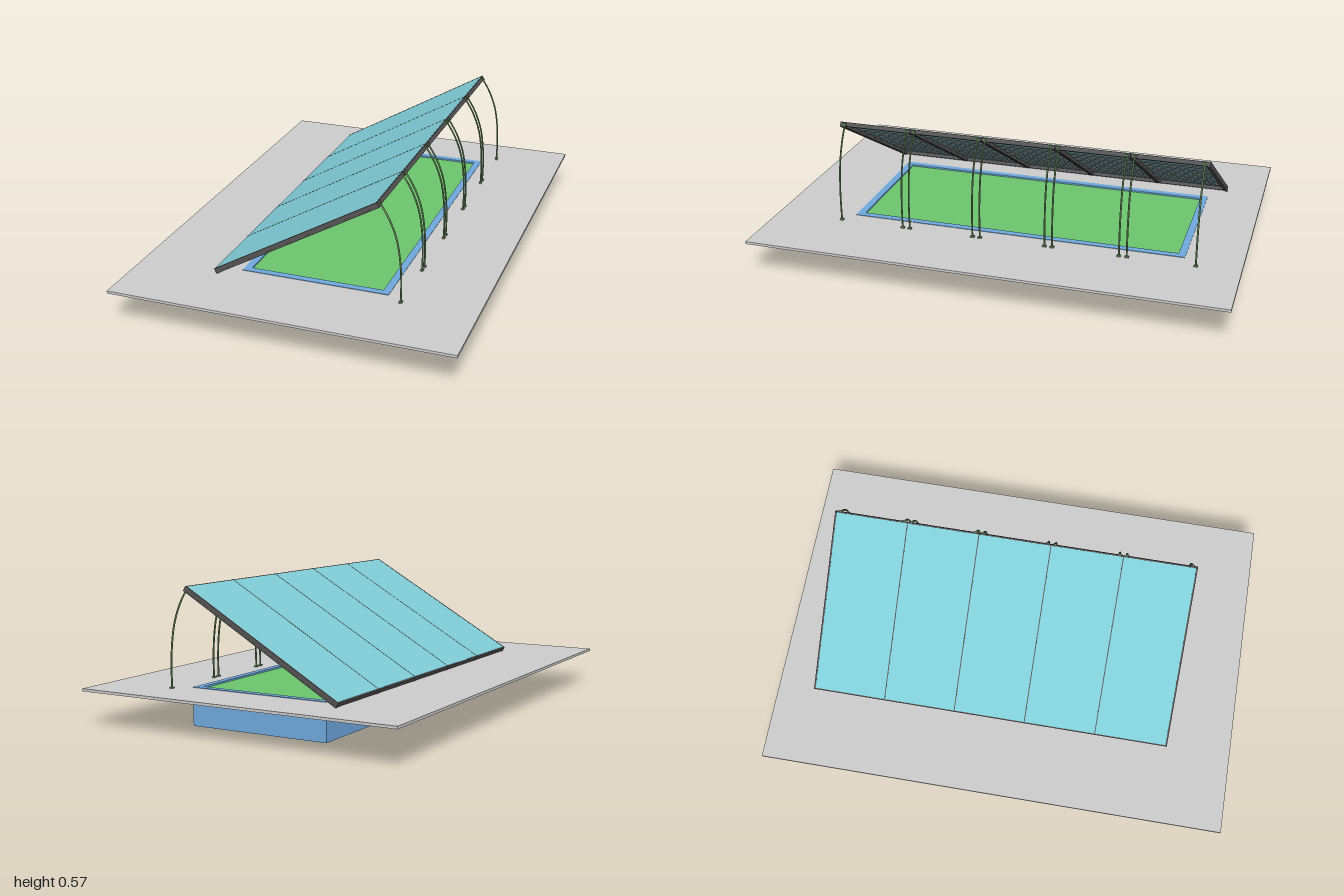
import * as THREE from 'three';

const mat = (color) => new THREE.MeshStandardMaterial({ color });
const GREY = mat(0xcccccc), BLUE = mat(0x6fa8dc), GREEN = mat(0x6cc46c);
const GLASS = mat(0x7fccd6), DARK = mat(0x555555), LEG = mat(0x6b8f5e);

function add(parent, name, geometry, material, x = 0, y = 0, z = 0) {
  const mesh = new THREE.Mesh(geometry, material);
  mesh.name = name;
  mesh.position.set(x, y, z);
  parent.add(mesh);
  return mesh;
}

const box = (parent, name, material, w, h, d, x, y, z) =>
  add(parent, name, new THREE.BoxGeometry(w, h, d), material, x, y, z);

// Upright prism on a rectangle [x0, x1, z0, z1], with a rectangular opening
function ringSlab([x0, x1, z0, z1], [a0, a1, b0, b1], y0, y1) {
  const pts = (l, r, n, f) => [[l, -n], [r, -n], [r, -f], [l, -f]].map((p) => new THREE.Vector2(...p));
  const shape = new THREE.Shape(pts(x0, x1, z1, z0));
  shape.holes.push(new THREE.Path(pts(a0, a1, b1, b0).reverse()));
  return new THREE.ExtrudeGeometry(shape, { depth: y1 - y0, bevelEnabled: false })
    .rotateX(-Math.PI / 2).translate(0, y0, 0);
}

export function createModel() {
  const model = new THREE.Group();
  const outer = [-0.282, 0.338, -0.765, 0.665];
  const inner = [-0.252, 0.308, -0.735, 0.635];
  const deckTop = 0.156;

  // Deck and sunken pool
  add(model, 'deck', ringSlab([-0.707, 0.707, -1, 1], outer, 0.145, deckTop), GREY);
  const pool = new THREE.Group();
  pool.name = 'pool';
  model.add(pool);
  add(pool, 'poolWalls', ringSlab(outer, inner, 0, 0.158), BLUE);
  box(pool, 'poolFloor', BLUE, 0.56, 0.012, 1.37, 0.028, 0.006, -0.05);
  box(pool, 'water', GREEN, 0.56, 0.01, 1.37, 0.028, 0.146, -0.05);

  // Sloped roof, built flat with local x running up the slope
  const roof = new THREE.Group();
  roof.name = 'roof';
  roof.position.set(-0.03, 0.364, 0);
  roof.rotation.z = Math.PI / 6;
  model.add(roof);
  const length = 0.792, zBack = -0.835, bays = 5, bay = 0.311;
  const slope = length - 0.012;
  for (let i = 0; i < bays; i++) {
    const z = zBack + bay * (i + 0.5);
    box(roof, 'roofPanel', GLASS, slope, 0.004, bay - 0.003, 0, 0.008, z);
    for (const s of [-1, 1]) {
      box(roof, 'rafter', DARK, length, 0.016, 0.008, 0, -0.002, z + s * (bay / 2 - 0.006));
      box(roof, 'edgeRail', DARK, 0.009, 0.018, bay - 0.003, s * (length / 2 - 0.0045), 0, z);
    }
    // Cross bars under the panel
    for (let k = 1; k <= 8; k++) {
      box(roof, 'crossBar', DARK, 0.005, 0.006, bay - 0.014, -length / 2 + (length * k) / 9, 0.003, z);
    }
  }
  for (let i = 1; i < bays; i++) {
    box(roof, 'panelSeam', DARK, length, 0.006, 0.004, 0, 0.0075, zBack + bay * i);
  }
  for (const [z, s] of [[zBack, -1], [zBack + bay * bays, 1]]) {
    box(roof, 'gableRail', DARK, length, 0.021, 0.007, 0, 0, z + s * 0.002);
    box(roof, 'gableLip', DARK, length, 0.006, 0.012, 0, -0.009, z);
  }

  // Curved legs, one pair for each bay
  const arc = new THREE.CatmullRomCurve3([
    [0.312, 0.565], [0.351, 0.5], [0.381, 0.42], [0.396, 0.33], [0.401, 0.24], [0.4, 0.158],
  ].map(([x, y]) => new THREE.Vector3(x, y, 0)));
  const legGeometry = new THREE.TubeGeometry(arc, 28, 0.0038, 8);
  for (let i = 0; i < bays; i++) {
    for (const s of [-1, 1]) {
      const leg = new THREE.Group();
      leg.name = 'leg';
      leg.position.z = zBack + bay * (i + 0.5) + s * (bay / 2 - 0.016);
      model.add(leg);
      add(leg, 'legArc', legGeometry, LEG);
      box(leg, 'legFoot', LEG, 0.012, 0.006, 0.016, 0.4, deckTop + 0.003, 0);
      box(leg, 'legHinge', LEG, 0.012, 0.012, 0.014, 0.311, 0.561, 0);
    }
  }
  return model;
}
